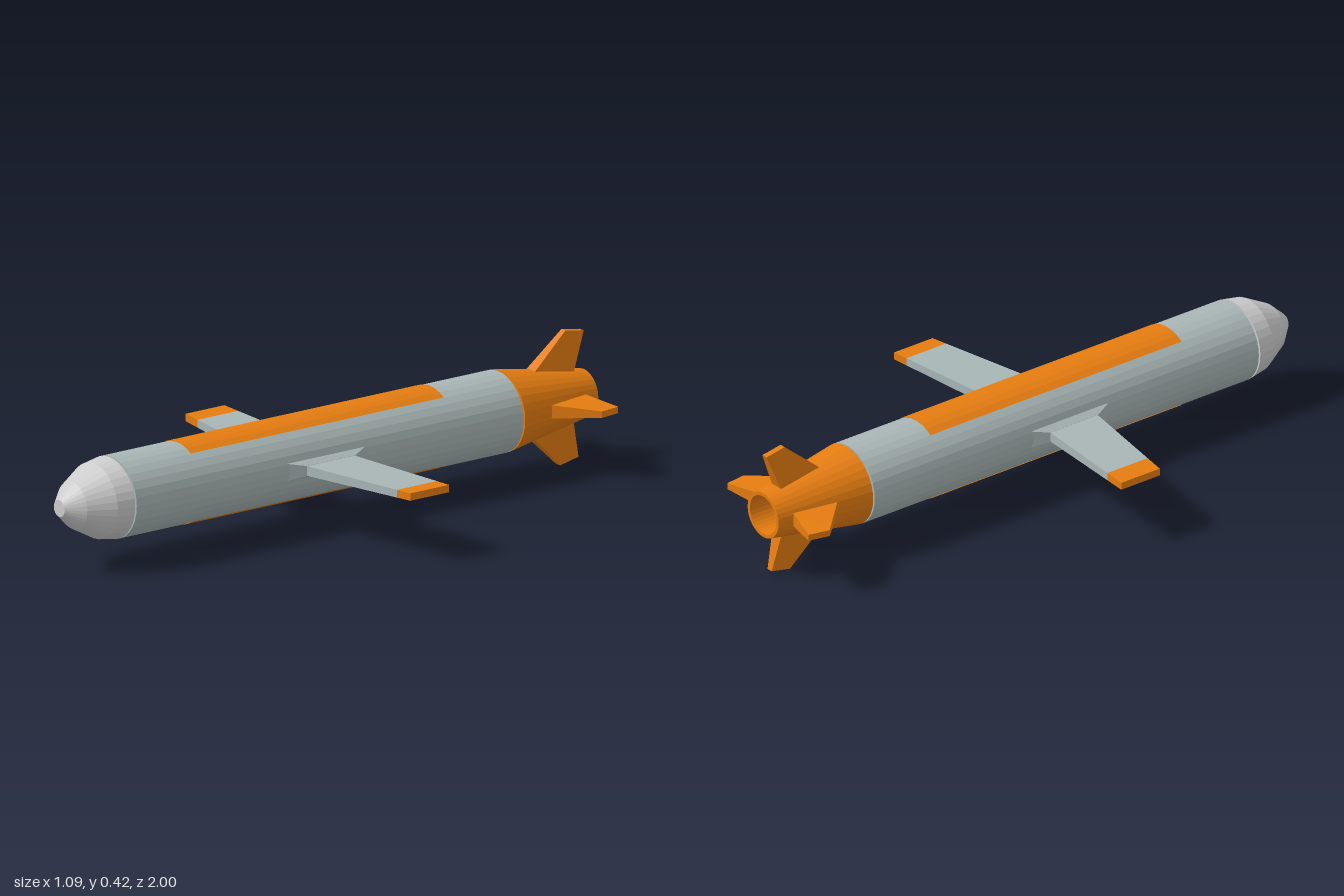
import * as THREE from 'three';

const mat = (color) => new THREE.MeshStandardMaterial({ color, flatShading: true, side: THREE.DoubleSide });
const SEGMENTS = 32;

// Surface of revolution about the z axis; profile points are [radius, z]
function revolve(name, profile, material, start = 0, arc = Math.PI * 2, segments = SEGMENTS) {
  const points = profile.map(([r, z]) => new THREE.Vector2(r, z));
  const geometry = new THREE.LatheGeometry(points, segments, start, arc).rotateX(Math.PI / 2);
  const mesh = new THREE.Mesh(geometry, material);
  mesh.name = name;
  return mesh;
}

// Four-cornered section of a blade that grows along +x; the back and front edges may end at different x
const section = (xBack, xFront, half, zBack, zFront) => [
  [xBack, -half, zBack], [xFront, -half, zFront], [xFront, half, zFront], [xBack, half, zBack],
];

// Closed solid between two four-cornered sections
function blade(name, inner, outer, material) {
  const positions = [];
  const quad = (a, b, c, d) => positions.push(...a, ...b, ...c, ...a, ...c, ...d);
  for (let i = 0; i < 4; i++) {
    const j = (i + 1) % 4;
    quad(inner[i], outer[i], outer[j], inner[j]);
  }
  quad(...inner);
  quad(...[...outer].reverse());
  const geometry = new THREE.BufferGeometry();
  geometry.setAttribute('position', new THREE.Float32BufferAttribute(positions, 3));
  geometry.computeVertexNormals();
  const mesh = new THREE.Mesh(geometry, material);
  mesh.name = name;
  return mesh;
}

export function createModel() {
  const grey = mat(0xcccccc);
  const hull = mat(0xa8b6b5);
  const orange = mat(0xe57c10);

  const model = new THREE.Group();
  model.name = 'wingedTube';
  const craft = new THREE.Group();
  craft.name = 'craft';
  craft.position.set(-0.017, 0.2135, 0);
  model.add(craft);

  // Main tube, nose with a flat tip, and tail cone with a hollow end
  craft.add(revolve('body', [[0, -0.673], [0.127, -0.673], [0.127, 0.804], [0, 0.804]], hull));
  craft.add(revolve('nose',
    [[0, 0.81], [0.127, 0.81], [0.117, 0.868], [0.073, 0.95], [0.026, 1], [0, 1]], grey));
  craft.add(revolve('tailCone',
    [[0, -0.9], [0.06, -0.9], [0.063, -1], [0.074, -1], [0.127, -0.679], [0, -0.679]], orange));

  // Curved panels along the top and bottom, six facets wide
  const arc = (6 / SEGMENTS) * Math.PI * 2;
  for (const [name, centre] of [['topPanel', Math.PI], ['bottomPanel', 0]]) {
    craft.add(revolve(name, [[0.12, -0.412], [0.1285, -0.412], [0.1285, 0.552], [0.12, 0.552]],
      orange, centre - arc / 2, arc, 6));
  }

  // Wings with root fairings and coloured tips
  const addWing = (name, angle, tip, band) => {
    const wing = new THREE.Group();
    wing.name = name;
    wing.rotation.z = angle;
    const at = (x) => {
      const t = (x - 0.09) / (tip - 0.09);
      const lerp = THREE.MathUtils.lerp;
      return section(x, x, lerp(0.0155, 0.0115, t), lerp(-0.008, -0.048, t), lerp(0.179, 0.1, t));
    };
    wing.add(blade('wingPanel', at(0.09), at(band), hull));
    wing.add(blade('wingTip', at(band), at(tip), orange));
    wing.add(blade('wingFairing', section(0.115, 0.115, 0.032, -0.09, 0.25),
      section(0.147, 0.147, 0.0155, -0.014, 0.17), hull));
    craft.add(wing);
  };
  addWing('leftWing', 0, 0.557, 0.504);
  addWing('rightWing', Math.PI, 0.528, 0.453);

  // Four swept tail fins: [name, angle, tip front radius, z, tip back radius, z]
  const fins = [
    ['leftFin', 0, 0.223, -0.897, 0.213, -0.966],
    ['topFin', Math.PI / 2, 0.209, -0.925, 0.197, -0.995],
    ['rightFin', Math.PI, 0.216, -0.918, 0.2, -0.987],
    ['bottomFin', -Math.PI / 2, 0.2085, -0.905, 0.194, -0.975],
  ];
  for (const [name, angle, rFront, zFront, rBack, zBack] of fins) {
    const fin = blade(name, section(0.073, 0.09, 0.022, -0.946, -0.783),
      section(rBack, rFront, 0.01, zBack, zFront), orange);
    fin.rotation.z = angle;
    craft.add(fin);
  }
  return model;
}
